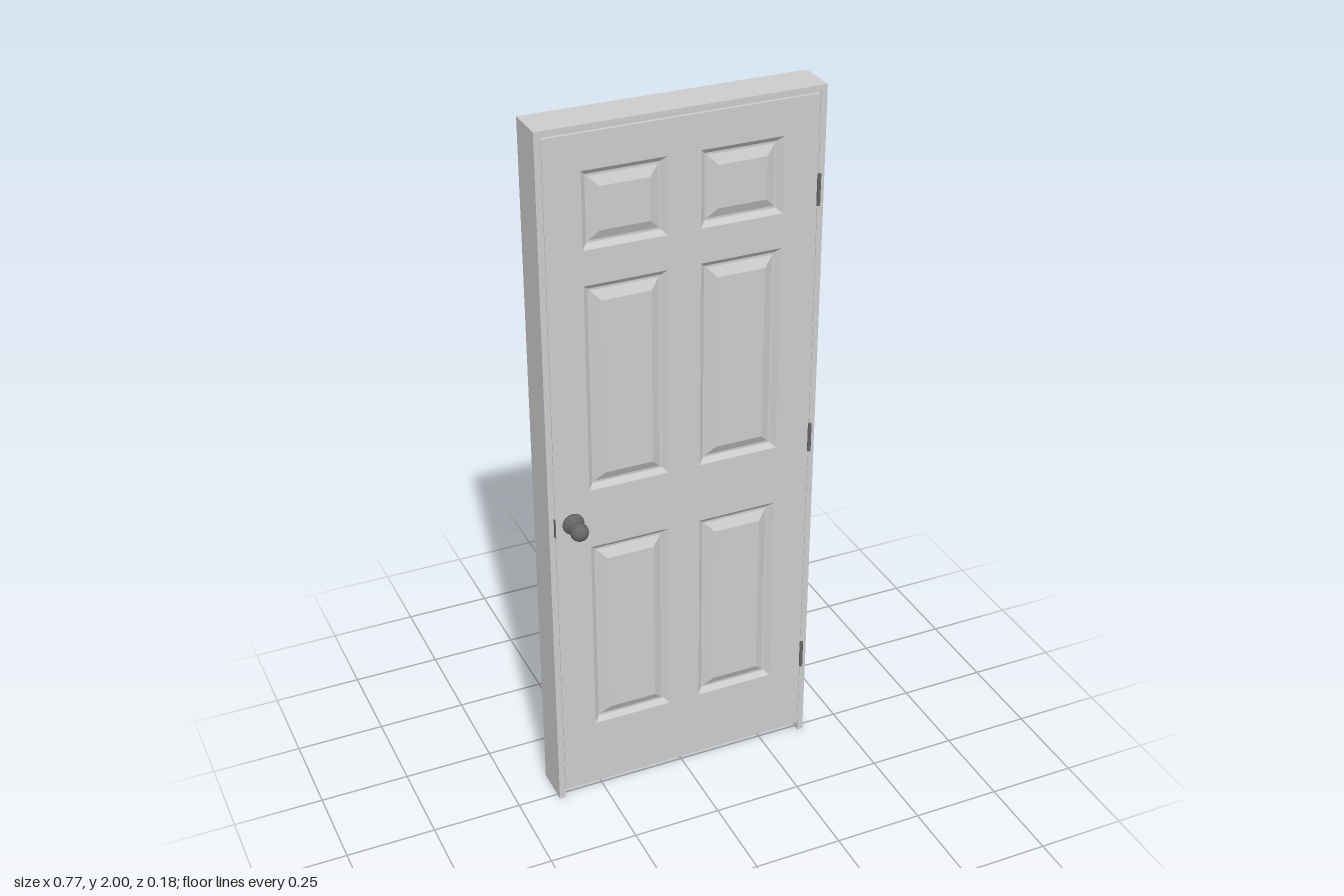
import * as THREE from 'three';

const paint = new THREE.MeshStandardMaterial({ color: 0xcccccc, flatShading: true });
const metal = new THREE.MeshStandardMaterial({ color: 0x666666 });

const W = 0.385, H = 2, BACK = -0.092, FACE = 0.02; // half width, height, frame back, door face
const JAMB = 0.017, STOP = 0.01;

function add(parent, name, geometry, material, x = 0, y = 0, z = 0) {
  const mesh = new THREE.Mesh(geometry, material);
  mesh.name = name;
  mesh.position.set(x, y, z);
  parent.add(mesh);
  return mesh;
}

function rectPoints(x0, x1, y0, y1) {
  return [[x0, y0], [x1, y0], [x1, y1], [x0, y1]].map(([x, y]) => new THREE.Vector2(x, y));
}

// Upside-down U with open bottom, extruded from z0 to z1
function archGeometry(halfW, top, t, z0, z1) {
  const i = halfW - t;
  const pts = [[-halfW, 0], [-i, 0], [-i, top - t], [i, top - t], [i, 0], [halfW, 0], [halfW, top], [-halfW, top]];
  const shape = new THREE.Shape(pts.map(([x, y]) => new THREE.Vector2(x, y)));
  return new THREE.ExtrudeGeometry(shape, { depth: z1 - z0, bevelEnabled: false }).translate(0, 0, z0);
}

// Raised panel: nested rectangles, each [inset, z], joined by mitred strips and closed by a field
function panelGeometry([x0, x1, y0, y1], profile) {
  const loops = profile.map(([d, z]) =>
    rectPoints(x0 + d, x1 - d, y0 + d, y1 - d).map(p => [p.x, p.y, z]));
  const pos = [];
  const quad = (a, b, c, d) => pos.push(...a, ...b, ...c, ...a, ...c, ...d);
  for (let i = 0; i + 1 < loops.length; i++) {
    for (let k = 0; k < 4; k++) {
      const n = (k + 1) % 4;
      quad(loops[i][k], loops[i][n], loops[i + 1][n], loops[i + 1][k]);
    }
  }
  quad(...loops[loops.length - 1]);
  const g = new THREE.BufferGeometry();
  g.setAttribute('position', new THREE.Float32BufferAttribute(pos, 3));
  g.computeVertexNormals();
  return g;
}

// Rose, neck and ball, turned about the z axis
function knob(parent, x, y) {
  const rose = [[0, 0], [0.03, 0], [0.03, 0.005], [0.026, 0.008], [0.014, 0.015], [0.011, 0.019], [0.011, 0.028]]
    .map(([r, h]) => new THREE.Vector2(r, h));
  const group = new THREE.Group();
  group.name = 'knob';
  group.position.set(x, y, FACE);
  const base = new THREE.LatheGeometry(rose, 16).rotateX(Math.PI / 2);
  add(group, 'knobRose', base, metal);
  add(group, 'knobBall', new THREE.SphereGeometry(0.025, 16, 12).rotateX(Math.PI / 2), metal, 0, 0, 0.045);
  parent.add(group);
}

export function createModel() {
  const model = new THREE.Group();
  model.name = 'panelDoor';

  // Frame with the stop the door closes against
  add(model, 'jamb', archGeometry(W, H, JAMB, BACK, FACE), paint);
  add(model, 'doorStop', archGeometry(W - JAMB, H - JAMB, STOP, -0.055, -FACE - 0.002), paint);

  // Panel openings: two columns by three rows
  const rows = [[0.233, 0.82], [0.995, 1.582], [1.677, 1.884]];
  const openings = [];
  for (const [y0, y1] of rows) {
    openings.push([0.045, 0.27, y0, y1], [-0.27, -0.045, y0, y1]);
  }

  // Door slab
  const slab = new THREE.Shape(rectPoints(-0.367, 0.367, 0.028, 1.979));
  for (const o of openings) slab.holes.push(new THREE.Path(rectPoints(...o).reverse()));
  const slabGeometry = new THREE.ExtrudeGeometry(slab, { depth: 2 * FACE, bevelEnabled: false });
  add(model, 'doorSlab', slabGeometry.translate(0, 0, -FACE), paint);

  // Panels and knob, the same on both faces
  for (const side of ['front', 'back']) {
    const face = new THREE.Group();
    face.name = side + 'Face';
    for (const o of openings) {
      const rise = o[3] - o[2] > 0.3 ? 0.002 : 0;
      const profile = [[0, FACE], [0.014, FACE - 0.012], [0.02, FACE - 0.012], [0.046, FACE + rise]];
      add(face, 'raisedPanel', panelGeometry(o, profile), paint);
    }
    knob(face, side === 'front' ? -0.318 : 0.318, 0.907);
    if (side === 'back') face.rotation.y = Math.PI;
    model.add(face);
  }

  // Hinge barrels on the left edge
  for (const y of [0.283, 1.007, 1.727]) {
    add(model, 'hinge', new THREE.CylinderGeometry(0.005, 0.005, 0.085, 10), metal, 0.367, y, 0.027);
  }

  // Strike plate lip on the jamb
  add(model, 'strikePlate', new THREE.BoxGeometry(0.003, 0.055, 0.03), metal, -0.37, 0.907, 0.012);

  return model;
}
